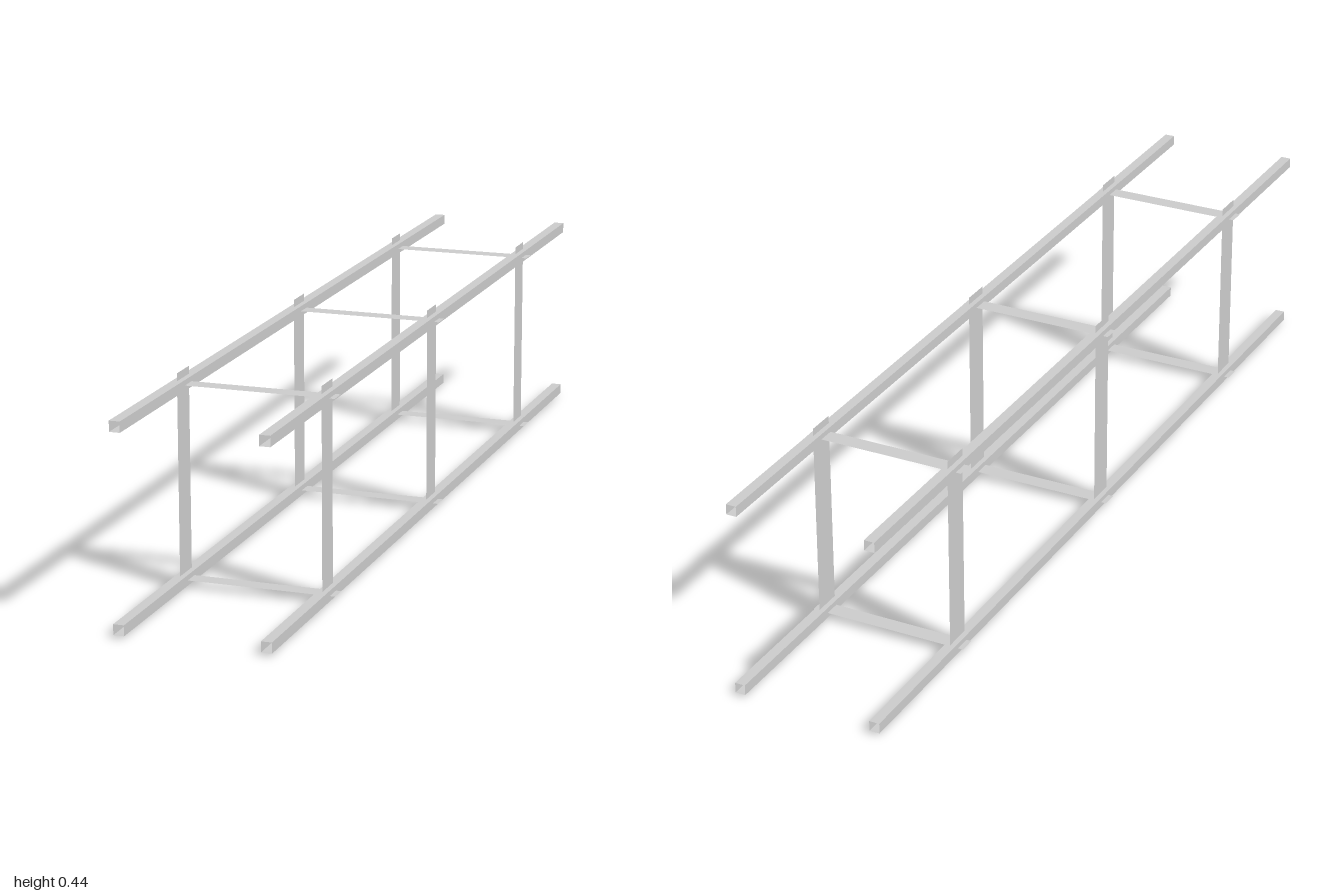
import * as THREE from 'three';

const LENGTH = 2;
const RAIL = 0.022;              // side of the square rail
const RAIL_X = 0.15;             // rail centres
const RAIL_Y = [0.016, 0.417];
const TOP = 0.444;               // height of the uprights
const STATIONS = [-0.66, 0, 0.66];

export function createModel() {
  const model = new THREE.Group();
  model.name = 'ladderFrame';
  const material = new THREE.MeshStandardMaterial({
    color: 0xcccccc, flatShading: true, side: THREE.DoubleSide,
  });

  const add = (name, geometry, x, y, z) => {
    const mesh = new THREE.Mesh(geometry, material);
    mesh.name = name;
    mesh.position.set(x, y, z);
    model.add(mesh);
  };

  // Square tube, open at both ends, running along z
  const r = RAIL * Math.SQRT1_2;
  const railGeometry = new THREE.CylinderGeometry(r, r, LENGTH, 4, 1, true)
    .rotateY(Math.PI / 4).rotateX(Math.PI / 2);
  // Flat strips: uprights face sideways, rungs face up
  const uprightGeometry = new THREE.PlaneGeometry(0.062, TOP).rotateY(Math.PI / 2);
  const rungGeometry = new THREE.PlaneGeometry(0.344, 0.036).rotateX(-Math.PI / 2);

  // Four long rails
  for (const x of [-RAIL_X, RAIL_X]) {
    for (const y of RAIL_Y) add('rail', railGeometry, x, y, 0);
  }

  // Each station: two uprights and two rungs passing through the rails
  for (const z of STATIONS) {
    for (const x of [-RAIL_X, RAIL_X]) add('upright', uprightGeometry, x, TOP / 2, z);
    for (const y of RAIL_Y) add('rung', rungGeometry, 0, y, z);
  }

  return model;
}
